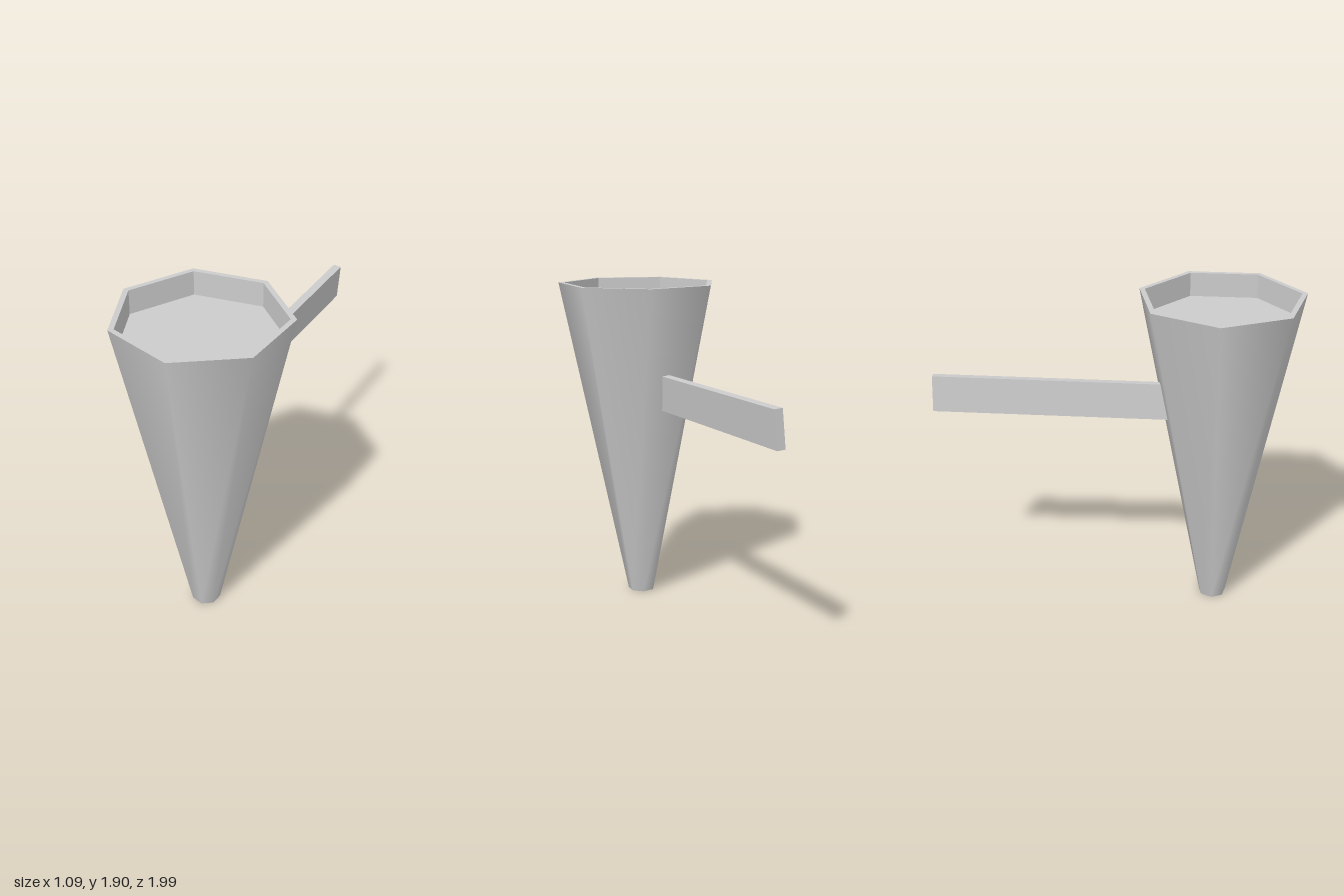
import * as THREE from 'three';

export function createModel() {
  const SIDES = 7, HEIGHT = 1.9, TOP_R = 0.479, BASE_R = 0.081;
  const RIM_R = 0.447, RECESS = 0.14;

  const smooth = new THREE.MeshStandardMaterial({ color: 0xcccccc });
  const flat = new THREE.MeshStandardMaterial({
    color: 0xcccccc, flatShading: true, side: THREE.DoubleSide,
  });

  const model = new THREE.Group();
  const cup = new THREE.Group();
  cup.name = 'cup';
  cup.position.set(-0.115, 0, 0.528);
  model.add(cup);

  const add = (parent, name, geometry, material, y = 0) => {
    const mesh = new THREE.Mesh(geometry, material);
    mesh.name = name;
    mesh.position.y = y;
    parent.add(mesh);
    return mesh;
  };
  // Seven-sided open tube with a corner on +x
  const tube = (top, bottom, h) =>
    new THREE.CylinderGeometry(top, bottom, h, SIDES, 1, true, Math.PI / 2);
  const disc = (r, up) => new THREE.CircleGeometry(r, SIDES).rotateX(up ? -Math.PI / 2 : Math.PI / 2);

  // Tapered body, smooth around its sides
  add(cup, 'body', tube(TOP_R, BASE_R, HEIGHT), smooth, HEIGHT / 2);
  add(cup, 'base', disc(BASE_R, false), smooth);

  // Rim and shallow recess in the top
  add(cup, 'rim', new THREE.RingGeometry(RIM_R, TOP_R, SIDES).rotateX(-Math.PI / 2), smooth, HEIGHT);
  add(cup, 'recessWall', tube(RIM_R, RIM_R, RECESS), flat, HEIGHT - RECESS / 2);
  add(cup, 'recessFloor', disc(RIM_R, true), smooth, HEIGHT - RECESS);

  // Flat handle, slightly pitched and rolled, its near end buried in the body
  const length = 1.4;
  const handle = add(model, 'handle', new THREE.BoxGeometry(0.047, 0.21, length), smooth);
  handle.rotation.set(0.0167, -0.408, -0.085, 'YXZ');
  const inward = new THREE.Vector3(0, 0, length / 2).applyEuler(handle.rotation);
  handle.position.set(0.51, 1.304, -0.983).add(inward);

  return model;
}
